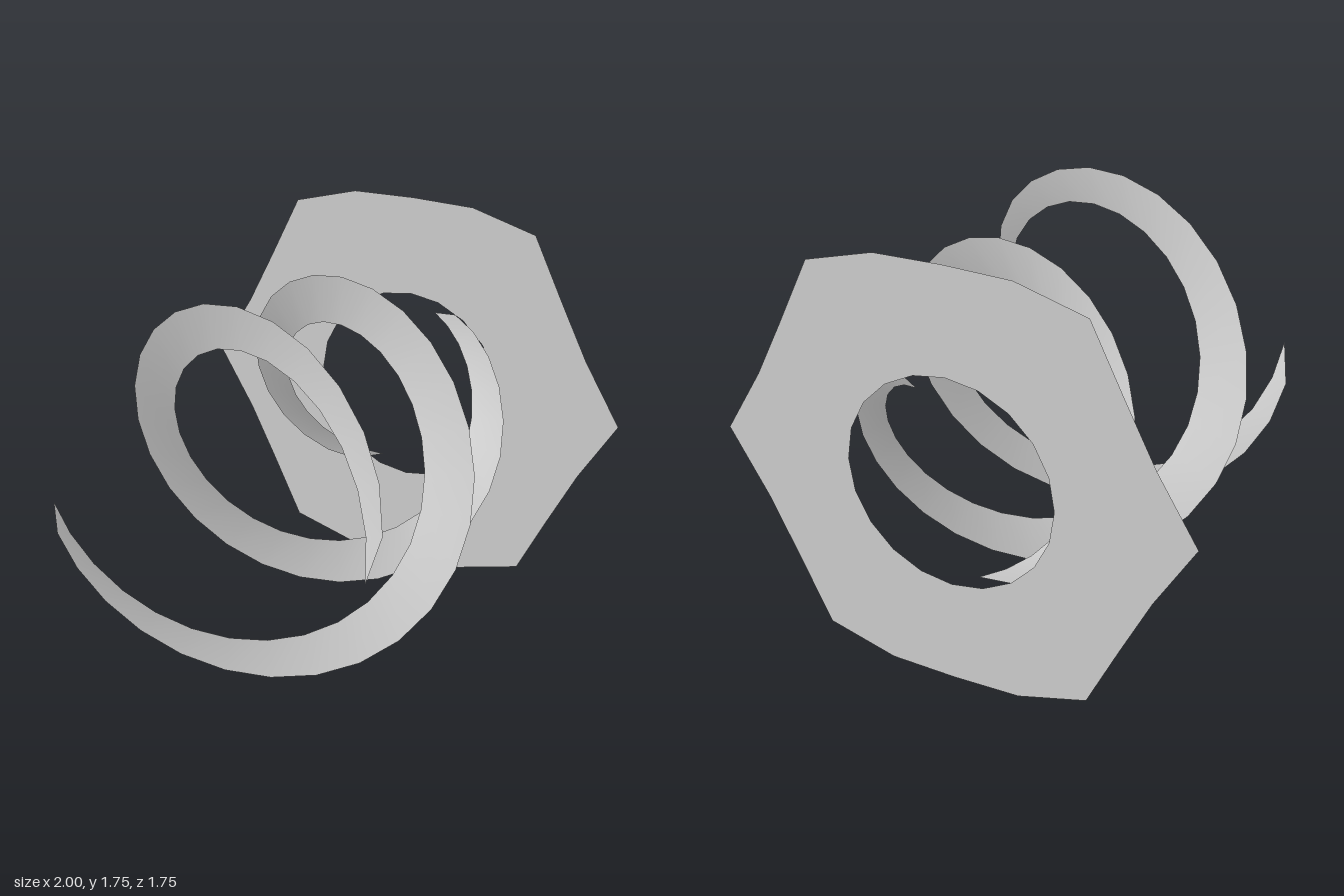
import * as THREE from 'three';

const CENTRE_Y = 0.877;
const HALF_DEPTH = 0.873;

const grey = new THREE.MeshStandardMaterial({ color: 0xcccccc, side: THREE.DoubleSide });
grey.name = 'grey';

// Flat plate with a round hole; the rim swells outward at six corners
function makePlate() {
  const rim = 0.877, hole = 0.44;
  const geo = new THREE.RingGeometry(hole, rim, 20, 1);
  const pos = geo.attributes.position;
  for (let i = 0; i < pos.count; i++) {
    const x = pos.getX(i), y = pos.getY(i);
    if (Math.hypot(x, y) < 0.6) continue;
    const a = Math.atan2(y, x);
    const r = rim + 0.123 * Math.max(0, Math.cos(6 * a));
    pos.setXY(i, r * Math.cos(a), r * Math.sin(a));
  }
  const plate = new THREE.Mesh(geo, grey);
  plate.name = 'hexPlate';
  plate.position.z = -HALF_DEPTH;
  return plate;
}

// Radial ribbon winding 1.2 turns backward, pointed at both ends
function makeRibbon(startAngle, name) {
  const steps = 32, points = [], index = [];
  for (let i = 0; i <= steps; i++) {
    const t = i / steps;
    const a = startAngle + t * 2.4 * Math.PI;
    const inner = THREE.MathUtils.lerp(0.68, 0.39, t);
    const width = 0.216 * Math.sqrt(Math.max(0, Math.sin(Math.PI * t)));
    const z = HALF_DEPTH * (1 - 2 * t);
    for (const r of [inner, inner + width]) points.push(r * Math.cos(a), r * Math.sin(a), z);
    if (i < steps) {
      const k = 2 * i;
      index.push(k, k + 1, k + 2, k + 1, k + 3, k + 2);
    }
  }
  const geo = new THREE.BufferGeometry();
  geo.setAttribute('position', new THREE.Float32BufferAttribute(points, 3));
  geo.setIndex(index);
  geo.computeVertexNormals();
  const ribbon = new THREE.Mesh(geo, grey);
  ribbon.name = name;
  return ribbon;
}

export function createModel() {
  const model = new THREE.Group();
  model.name = 'spiralOrnament';
  const body = new THREE.Group();
  body.name = 'plateAndRibbons';
  body.position.y = CENTRE_Y;
  body.add(makePlate(), makeRibbon(0, 'leftRibbon'), makeRibbon(Math.PI, 'rightRibbon'));
  model.add(body);
  return model;
}
